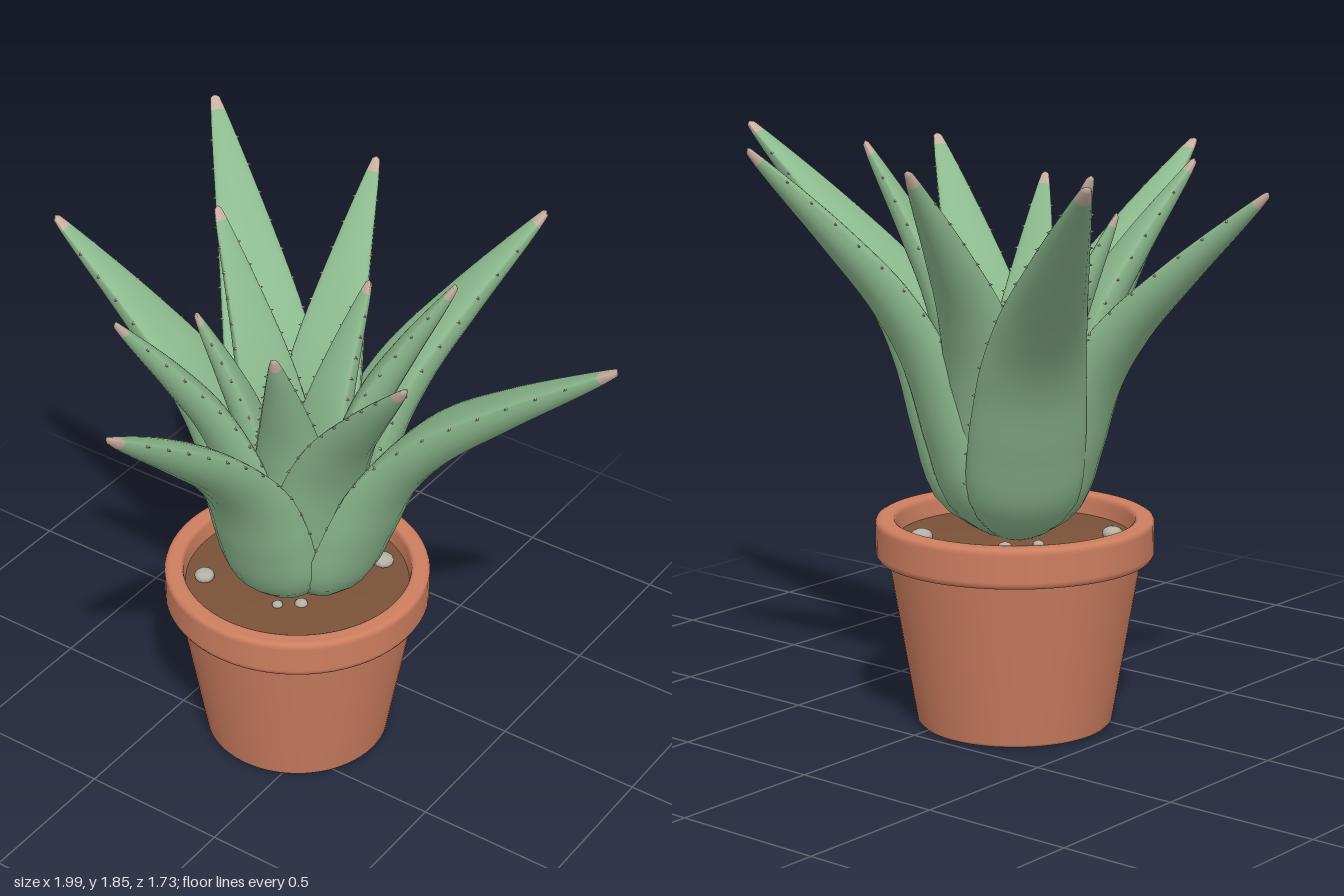
import * as THREE from 'three';
import { mergeGeometries } from 'three/addons/utils/BufferGeometryUtils.js';

const CX = -0.13, CZ = -0.16; // pot axis
const RINGS = 32, SIDES = 20;

// Leaf tips as x, y, z, from the outermost leaf to the innermost, in a golden-angle spiral
const TIPS = [
  [0.99, 1.85, -0.18], [-0.96, 1.85, -0.86], [-0.07, 1.78, 0.86], [0.36, 1.86, -0.83],
  [-1.0, 1.76, -0.05], [0.51, 1.81, 0.21], [-0.29, 1.84, -0.84], [-0.43, 1.78, 0.37],
  [0.35, 1.84, -0.32], [-0.57, 1.8, -0.34], [0.03, 1.72, 0.19], [-0.05, 1.65, -0.45],
  [-0.4, 1.64, 0.01],
];
// Leaf centreline as fractions of reach and height
const ARC = [[0, 0], [0.09, 0.1], [0.15, 0.25], [0.25, 0.46], [0.4, 0.62], [0.64, 0.785], [1, 1]];
// Half-width along the leaf
const WIDTH = [[0, 0.45], [0.05, 0.75], [0.1, 0.94], [0.16, 0.98], [0.25, 0.96], [0.38, 0.87],
  [0.53, 0.71], [0.72, 0.47], [0.88, 0.26], [0.96, 0.15], [1, 0.08]];

function sample(table, t) {
  let i = 1;
  while (i < table.length - 1 && t > table[i][0]) i++;
  const [a, b] = [table[i - 1], table[i]];
  return THREE.MathUtils.lerp(a[1], b[1], (t - a[0]) / (b[0] - a[0]));
}

// Fleshy leaf lying in the x-y plane: flat-topped at the base, plump at the tip
function leafParts(reach, height, r0, w0) {
  const y0 = 0.64;
  const curve = new THREE.CatmullRomCurve3(
    ARC.map(([f, g]) => new THREE.Vector3(r0 + (reach - r0) * f, y0 + (height - y0) * g, 0)));
  const pos = [], index = [];
  for (let k = 0; k <= RINGS; k++) {
    const t = k / RINGS, c = curve.getPointAt(t), d = curve.getTangentAt(t);
    const w = w0 * sample(WIDTH, t);
    const top = THREE.MathUtils.lerp(-0.08, 0.35, t), under = THREE.MathUtils.lerp(0.65, 1.1, t);
    for (let j = 0; j < SIDES; j++) {
      const a = (j / SIDES) * Math.PI * 2, s = Math.sin(a);
      const h = w * s * (s > 0 ? top : under);
      pos.push(c.x - d.y * h, c.y + d.x * h, w * Math.cos(a));
    }
  }
  const baseCentre = pos.length / 3, tipCentre = baseCentre + 1;
  const b = curve.getPointAt(0), e = curve.getPointAt(1), eT = curve.getTangentAt(1);
  pos.push(b.x, b.y, 0, e.x + eT.x * 0.01, e.y + eT.y * 0.01, 0);
  for (let j = 0; j < SIDES; j++) index.push(baseCentre, j, (j + 1) % SIDES);
  let tipStart = 0;
  for (let k = 0; k < RINGS; k++) {
    if (k === RINGS - 1) tipStart = index.length;
    for (let j = 0; j < SIDES; j++) {
      const n = (j + 1) % SIDES, p = k * SIDES, q = p + SIDES;
      index.push(p + j, q + j, p + n, q + j, q + n, p + n);
    }
  }
  for (let j = 0; j < SIDES; j++) {
    index.push(RINGS * SIDES + j, tipCentre, RINGS * SIDES + ((j + 1) % SIDES));
  }
  const body = new THREE.BufferGeometry();
  body.setAttribute('position', new THREE.Float32BufferAttribute(pos, 3));
  body.setIndex(index);
  body.computeVertexNormals();
  body.addGroup(0, tipStart, 0);
  body.addGroup(tipStart, index.length - tipStart, 1);

  // Small teeth along both margins
  const teeth = [];
  for (let k = 1; k <= 14; k++) {
    const t = k / 15.5, c = curve.getPointAt(t), w = w0 * sample(WIDTH, t);
    for (const side of [-1, 1]) {
      const cone = new THREE.ConeGeometry(0.006, 0.014, 5);
      cone.rotateX(side * Math.PI / 2);
      cone.translate(c.x, c.y, side * (w + 0.003));
      teeth.push(cone);
    }
  }
  return { body, teeth: mergeGeometries(teeth) };
}

export function createModel() {
  const model = new THREE.Group();
  model.name = 'pottedSucculent';
  const mat = (name, color) => {
    const m = new THREE.MeshStandardMaterial({ color });
    m.name = name;
    return m;
  };
  const terracotta = mat('terracotta', 0xcd7e60);
  const soilBrown = mat('soilBrown', 0x7a5238);
  const leafGreen = mat('leafGreen', 0x8dba8e);
  const tipPink = mat('tipPink', 0xc8b0a2);
  const pebbleGrey = mat('pebbleGrey', 0xb5afa4);
  const add = (parent, name, geometry, material, x = 0, y = 0, z = 0) => {
    const mesh = new THREE.Mesh(geometry, material);
    mesh.name = name;
    mesh.position.set(x, y, z);
    parent.add(mesh);
    return mesh;
  };
  const plant = new THREE.Group();
  plant.position.set(CX, 0, CZ);
  plant.name = 'plantAndPot';
  model.add(plant);

  // Pot: flat base, tapered wall, and a rim with softened edges
  const lathe = (pts) => new THREE.LatheGeometry(pts.map(([r, y]) => new THREE.Vector2(r, y)), 64);
  add(plant, 'potBase', lathe([[0, 0], [0.302, 0]]), terracotta);
  add(plant, 'potWall', lathe([[0.302, 0], [0.311, 0.01], [0.402, 0.545]]), terracotta);
  add(plant, 'rim', lathe([[0.395, 0.538], [0.42, 0.538], [0.434, 0.541], [0.44, 0.552], [0.44, 0.56],
    [0.44, 0.645], [0.44, 0.653], [0.436, 0.662], [0.427, 0.666], [0.42, 0.666], [0.395, 0.666],
    [0.388, 0.666], [0.381, 0.662], [0.378, 0.653], [0.377, 0.645], [0.37, 0.58]]), terracotta);
  add(plant, 'soil', lathe([[0.375, 0.6], [0.2, 0.612], [0, 0.62]]), soilBrown);

  // Pebbles on the soil
  const pebbles = [[-0.25, 0.18, 0.034], [0.19, -0.23, 0.036], [0.1, 0.12, 0.022],
    [-0.1, -0.17, 0.022], [0.04, 0.17, 0.018], [-0.16, -0.08, 0.018]];
  for (const [x, z, r] of pebbles) {
    add(plant, 'pebble', new THREE.SphereGeometry(r, 12, 8), pebbleGrey, x, 0.615, z).scale.y = 0.65;
  }

  // Short stem that closes the middle of the rosette
  add(plant, 'stem', lathe([[0.07, 0.6], [0.09, 0.72], [0.07, 0.85], [0, 0.95]]), leafGreen);

  // Rosette of leaves, narrower and more upright toward the middle
  TIPS.forEach(([x, y, z], i) => {
    const k = i / (TIPS.length - 1), dx = x - CX, dz = z - CZ;
    const parts = leafParts(Math.hypot(dx, dz) - 0.008, y - 0.015, 0.05 - 0.04 * k, 0.195 - 0.055 * k);
    const leaf = new THREE.Group();
    leaf.name = 'leaf';
    leaf.rotation.y = -Math.atan2(dz, dx);
    add(leaf, 'leafBody', parts.body, [leafGreen, tipPink]);
    add(leaf, 'leafTeeth', parts.teeth, tipPink);
    plant.add(leaf);
  });
  return model;
}
